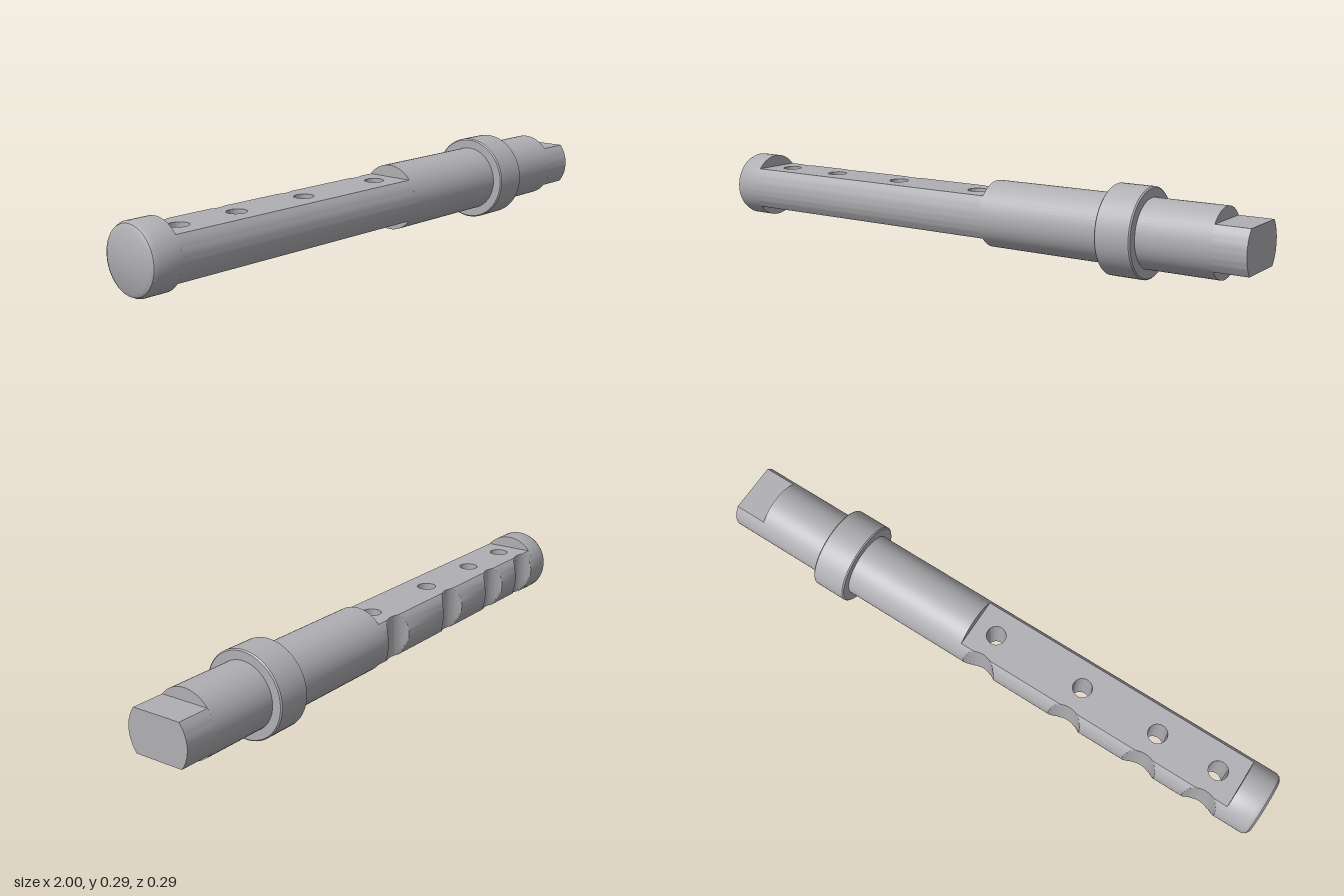
import * as THREE from 'three';
import { toCreasedNormals } from 'three/addons/utils/BufferGeometryUtils.js';

const R = 0.11;        // shaft radius
const COLLAR_R = 0.143;
const FLAT = 0.07;     // half height between the flats
const CREASE = 0.6;

// Turned part along x; profile is a list of [radius, x]
function turned(profile) {
  const geo = new THREE.LatheGeometry(profile.map(([r, x]) => new THREE.Vector2(r, x)), 64);
  geo.rotateZ(-Math.PI / 2);
  return toCreasedNormals(geo, CREASE);
}

// Round bar with flats above and below, cross holes and notches along the back
function flattened(x0, x1, stations = []) {
  const holeR = 0.032, notchR = 0.07, notchZ = 0.148;
  const a = Math.acos((notchZ - R) / notchR);
  const shape = new THREE.Shape();
  shape.moveTo(x0, -R);
  shape.lineTo(x1, -R);
  shape.lineTo(x1, R);
  for (const x of [...stations].reverse()) {
    shape.absarc(x, notchZ, notchR, -Math.PI / 2 + a, -Math.PI / 2 - a, true);
  }
  shape.lineTo(x0, R);
  shape.closePath();
  for (const x of stations) {
    const hole = new THREE.Path();
    hole.absarc(x, 0, holeR, 0, Math.PI * 2, true);
    shape.holes.push(hole);
  }
  const geo = new THREE.ExtrudeGeometry(shape, {
    depth: FLAT * 2, steps: 14, curveSegments: 20, bevelEnabled: false,
  });
  geo.translate(0, 0, -FLAT);
  geo.rotateX(-Math.PI / 2);
  // Pull the sides in to the round of the shaft
  const p = geo.attributes.position;
  for (let i = 0; i < p.count; i++) {
    const y = p.getY(i);
    const limit = Math.sqrt(R * R - y * y);
    p.setZ(i, THREE.MathUtils.clamp(p.getZ(i), -limit, limit));
  }
  return toCreasedNormals(geo, CREASE);
}

export function createModel() {
  const steel = new THREE.MeshStandardMaterial({ color: 0xb0b0b4 });
  steel.name = 'steel grey';
  const group = new THREE.Group();
  group.name = 'notchedPin';
  const add = (name, geo) => {
    const mesh = new THREE.Mesh(geo, steel);
    mesh.name = name;
    mesh.position.y = COLLAR_R;
    group.add(mesh);
  };

  // Rounded head at the left-hand end of the bar
  add('endHead', turned([[0, -1], [0.092, -1], [0.104, -0.993], [R, -0.98], [R, -0.9], [0, -0.9]]));
  // Flattened length with holes and notches
  add('drilledBar', flattened(-0.9, 0.09, [-0.82, -0.6, -0.32, 0.01]));
  // Round shaft and its collar
  add('shaft', turned([[0, 0.09], [R, 0.09], [R, 0.89], [0, 0.89]]));
  add('collar', turned([[R, 0.53], [0.139, 0.53], [COLLAR_R, 0.534], [COLLAR_R, 0.646], [0.139, 0.65], [R, 0.65]]));
  // Flattened driving tip
  add('drivingTip', flattened(0.89, 1));

  return group;
}
